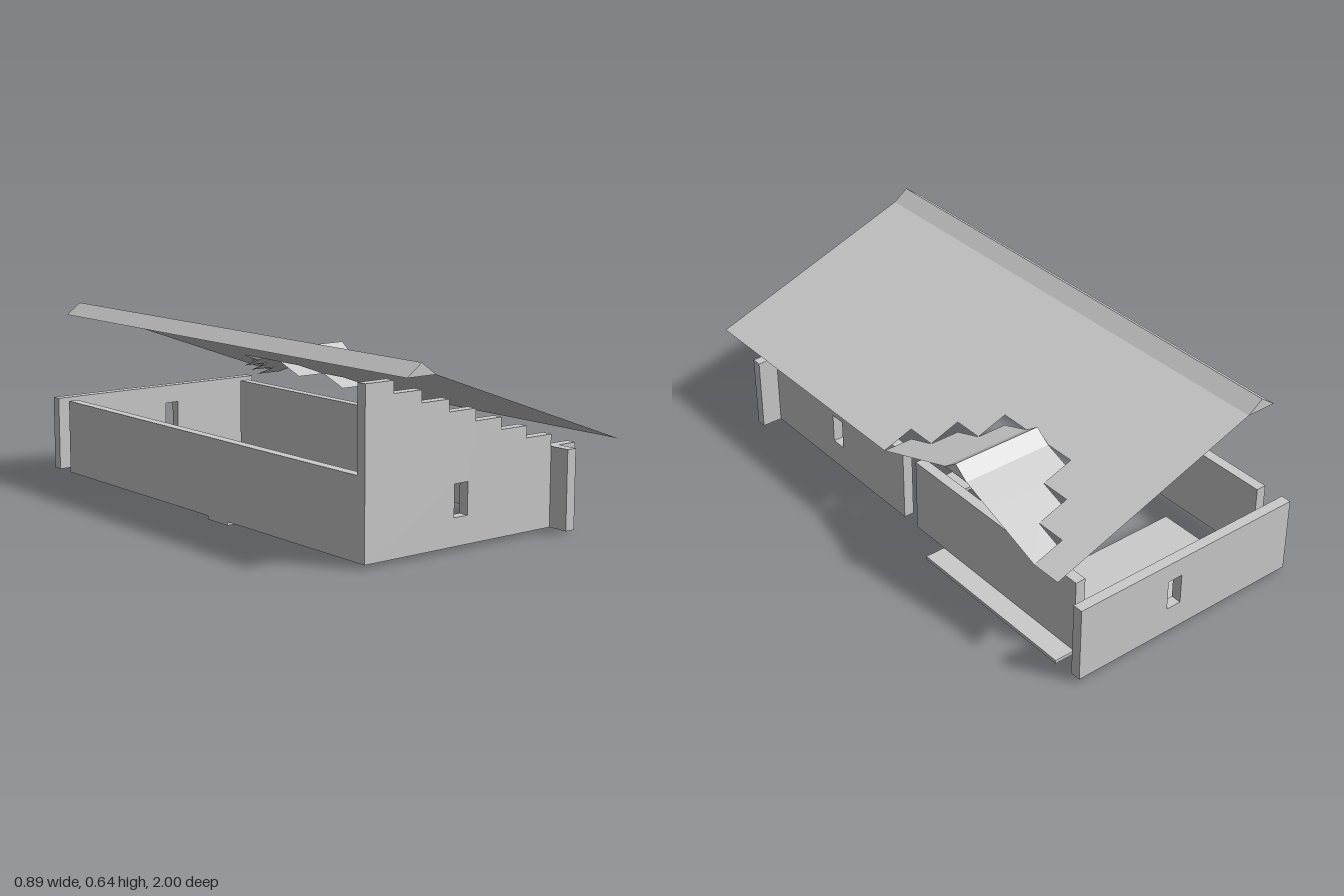
import * as THREE from 'three';

const U = 1 / 9;          // plan grid cell
const RISE = 0.04;        // roof rise per cell
const T = 0.037;          // wall thickness
const BASE = 0.0125, TOP = 0.28;

const solid = new THREE.MeshStandardMaterial({ color: 0xcccccc, flatShading: true });
const thin = new THREE.MeshStandardMaterial({ color: 0xcccccc, flatShading: true, side: THREE.DoubleSide });

// Thin surface from a list of polygons (3 or 4 corners each)
function sheet(name, polygons) {
  const pos = [];
  for (const [a, b, c, d] of polygons) {
    pos.push(...a, ...b, ...c);
    if (d) pos.push(...a, ...c, ...d);
  }
  const geo = new THREE.BufferGeometry();
  geo.setAttribute('position', new THREE.Float32BufferAttribute(pos, 3));
  geo.computeVertexNormals();
  const mesh = new THREE.Mesh(geo, thin);
  mesh.name = name;
  return mesh;
}

function box(name, x0, x1, y0, y1, z0, z1) {
  const mesh = new THREE.Mesh(new THREE.BoxGeometry(x1 - x0, y1 - y0, z1 - z0), solid);
  mesh.position.set((x0 + x1) / 2, (y0 + y1) / 2, (z0 + z1) / 2);
  mesh.name = name;
  return mesh;
}

// Wall drawn in elevation, with an optional window starting at u = win
function wall(name, outline, win) {
  const shape = new THREE.Shape(outline.map(([u, v]) => new THREE.Vector2(u, v)));
  if (win !== undefined) {
    const w = 0.056, y0 = 0.105, y1 = 0.212;
    shape.holes.push(new THREE.Path([[win, y0], [win, y1], [win + w, y1], [win + w, y0]]
      .map(([u, v]) => new THREE.Vector2(u, v))));
  }
  const geo = new THREE.ExtrudeGeometry(shape, { depth: T, bevelEnabled: false });
  const mesh = new THREE.Mesh(geo, solid);
  mesh.name = name;
  return mesh;
}

const rect = (u0, u1) => [[u0, BASE], [u1, BASE], [u1, TOP], [u0, TOP]];

// Tent-shaped ridge made of cells, with a triangle between cells and an open underside.
// at(s, t, y) maps along-ridge, across-ridge and height to a point.
function ridge(name, cells, y, at) {
  const polys = [], h = U / 2;
  for (let i = 0; i <= cells; i++) {
    polys.push([at(i * U, -h, y), at(i * U, h, y), at(i * U, 0, y + RISE)]);
  }
  const L = cells * U;
  polys.push([at(0, -h, y), at(0, 0, y + RISE), at(L, 0, y + RISE), at(L, -h, y)]);
  polys.push([at(0, 0, y + RISE), at(0, h, y), at(L, h, y), at(L, 0, y + RISE)]);
  return sheet(name, polys);
}

export function createModel() {
  const house = new THREE.Group();
  house.name = 'house';

  // Front gable wall with stepped top
  const steps = [[-4 * U, BASE], [4 * U, BASE]];
  for (let i = 0; i < 8; i++) {
    const y = TOP + i * RISE;
    steps.push([(4 - i) * U, y], [(3 - i) * U, y]);
  }
  const gable = wall('frontGableWall', steps, -0.085);
  gable.position.z = 7 * U;
  house.add(gable);

  // Back wall
  const back = wall('backWall', rect(-4 * U, 4 * U), 0.03);
  back.position.z = -1;
  house.add(back);

  // Low side wall in two parts with a narrow gap; the front part has a window
  const sideFront = wall('leftWallFront', rect(-8 * U, 0), -0.42);
  sideFront.rotation.y = Math.PI / 2;
  sideFront.position.x = 3 * U;
  house.add(sideFront);
  house.add(box('leftWallBack', 3 * U, 3 * U + T, BASE, TOP, -8 * U, -0.072));

  // Wall under the ridge
  house.add(box('rightWall', -4 * U, -4 * U + T, BASE, TOP, -8 * U, 7 * U));

  // Floor: an L at the back and three loose slabs
  house.add(box('backFloor', -3 * U, 4 * U, 0, BASE, -8 * U, -5 * U));
  house.add(box('sideFloor', 2 * U, 4 * U, 0, BASE, -5 * U, -2 * U));
  for (const i of [-4, -2, 0]) {
    house.add(box('floorSlab', i * U, (i + 1) * U, 0, BASE, 0, U));
  }

  // Main roof slope with a stepped opening for the cross gable
  const slope = [];
  const strip = (i, z0, z1) => {
    const x0 = (i - 3) * U, x1 = x0 + U, y0 = 0.6 - i * RISE, y1 = y0 - RISE;
    slope.push([[x0, y0, z1], [x1, y1, z1], [x1, y1, z0], [x0, y0, z0]]);
  };
  for (let i = 0; i < 7; i++) {
    if (i < 4) strip(i, -8 * U, 9 * U);
    else {
      strip(i, -8 * U, (-1 - i) * U);
      strip(i, (i - 6) * U, 9 * U);
    }
  }
  house.add(sheet('mainRoof', slope));
  house.add(ridge('mainRidge', 17, 0.6, (s, t, y) => [-3.5 * U + t, y, -8 * U + s]));

  // Cross gable: ridge and three shortening rows on each side
  const zc = -3.5 * U;
  house.add(ridge('crossRidge', 3, 0.44, (s, t, y) => [U + s, y, zc - t]));
  const rows = [];
  for (let k = 0; k < 3; k++) {
    const x0 = (k + 1) * U, x1 = 4 * U, y0 = 0.44 - k * RISE, y1 = y0 - RISE;
    const a = (k + 0.5) * U, b = a + U;
    rows.push([[x0, y1, zc + b], [x1, y1, zc + b], [x1, y0, zc + a], [x0, y0, zc + a]]);
    rows.push([[x0, y0, zc - a], [x1, y0, zc - a], [x1, y1, zc - b], [x0, y1, zc - b]]);
  }
  house.add(sheet('crossGableRoof', rows));

  return house;
}
